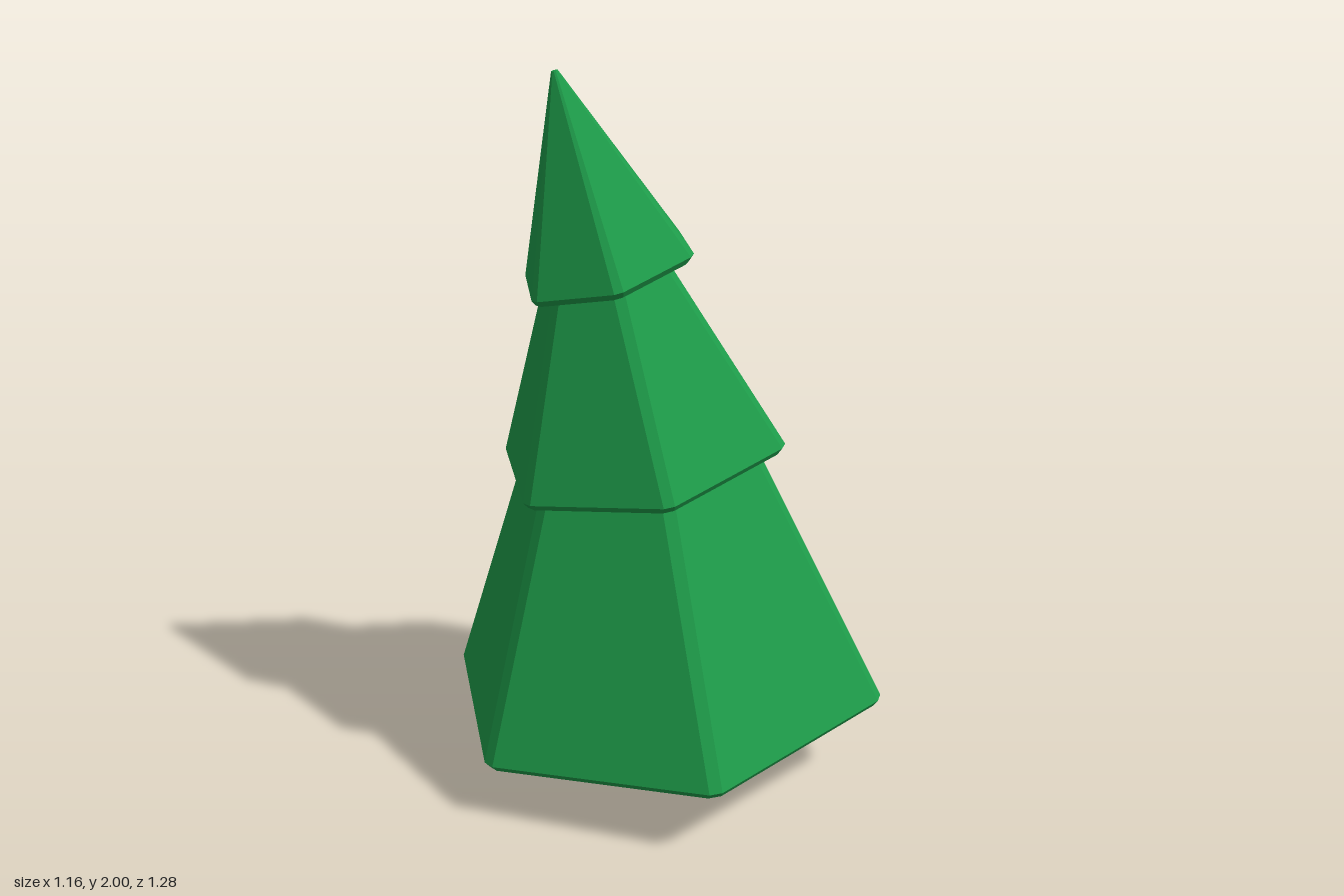
import * as THREE from 'three';

const leaf = new THREE.MeshStandardMaterial({ color: 0x1e9c4a, flatShading: true });
const bark = new THREE.MeshStandardMaterial({ color: 0x6f4e40, flatShading: true });

// Each tier: six (x, z) corners, a sloped base plane y = a + b*x + c*z,
// the point its edges lean towards, and how far up it is cut off.
const tiers = [
  { name: 'lowerTier', plane: [0.205, 0.022, -0.08], apex: [-0.05, 1.77, 0.14], cut: 0.6, bevel: 0.035,
    corners: [[0.01, -0.65], [0.58, -0.31], [0.565, 0.335], [-0.015, 0.65], [-0.58, 0.31], [-0.56, -0.345]] },
  { name: 'middleTier', plane: [0.958, 0.05, -0.167], apex: [-0.05, 1.87, 0.25], cut: 0.7, bevel: 0.03,
    corners: [[0.01, -0.335], [0.365, -0.115], [0.353, 0.305], [-0.015, 0.49], [-0.375, 0.275], [-0.358, -0.14]] },
  { name: 'topTier', plane: [1.52, 0.1, -0.24], apex: [-0.09, 2.02, 0.3], cut: 0.96, bevel: 0.025,
    corners: [[-0.012, -0.067], [0.195, 0.07], [0.185, 0.323], [-0.04, 0.425], [-0.252, 0.28], [-0.235, 0.035]] },
];

// Replace every corner by two points, a short way along both its edges
function bevelRing(ring, width) {
  const n = ring.length;
  return ring.flatMap((p, i) => [ring[(i + n - 1) % n], ring[(i + 1) % n]].map((q) => {
    const t = Math.min(width * 0.58 / p.distanceTo(q), 0.3);
    return p.clone().lerp(q, t);
  }));
}

function tierGeometry({ corners, plane: [a, b, c], apex, cut, bevel }) {
  const base = corners.map(([x, z]) => new THREE.Vector3(x, a + b * x + c * z, z));
  const tip = new THREE.Vector3(...apex);
  const centre = (ring) => ring.reduce((s, p) => s.add(p), new THREE.Vector3()).divideScalar(ring.length);
  const mid = centre(base);

  // Inset underside, rim and upper cut
  const under = base.map((p) => {
    const q = p.clone().addScaledVector(mid.clone().sub(p).normalize(), 0.014);
    q.y -= 0.006;
    return q;
  });
  const rim = base.map((p) => p.clone().setY(p.y + 0.012));
  const upper = rim.map((p) => p.clone().lerp(tip, cut));
  const rings = [under, rim, upper].map((r) => bevelRing(r, bevel));

  const pos = [];
  const tri = (...pts) => pts.forEach((p) => pos.push(p.x, p.y, p.z));
  const n = rings[0].length;
  const low = centre(rings[0]);
  const high = centre(rings[2]);
  for (let i = 0; i < n; i++) {
    const j = (i + 1) % n;
    for (let k = 0; k < 2; k++) {
      tri(rings[k][i], rings[k + 1][i], rings[k + 1][j]);
      tri(rings[k][i], rings[k + 1][j], rings[k][j]);
    }
    tri(low, rings[0][i], rings[0][j]);
    tri(high, rings[2][j], rings[2][i]);
  }
  const geometry = new THREE.BufferGeometry();
  geometry.setAttribute('position', new THREE.Float32BufferAttribute(pos, 3));
  geometry.computeVertexNormals();
  return geometry;
}

export function createModel() {
  const tree = new THREE.Group();
  tree.name = 'tree';

  // Hexagonal trunk, tipped slightly forward
  const trunk = new THREE.Mesh(new THREE.CylinderGeometry(0.143, 0.143, 0.26, 6), bark);
  trunk.name = 'trunk';
  trunk.position.set(0.037, 0.134, 0);
  trunk.rotation.x = 0.028;
  tree.add(trunk);

  // Stacked leaning foliage
  for (const tier of tiers) {
    const mesh = new THREE.Mesh(tierGeometry(tier), leaf);
    mesh.name = tier.name;
    tree.add(mesh);
  }
  return tree;
}
